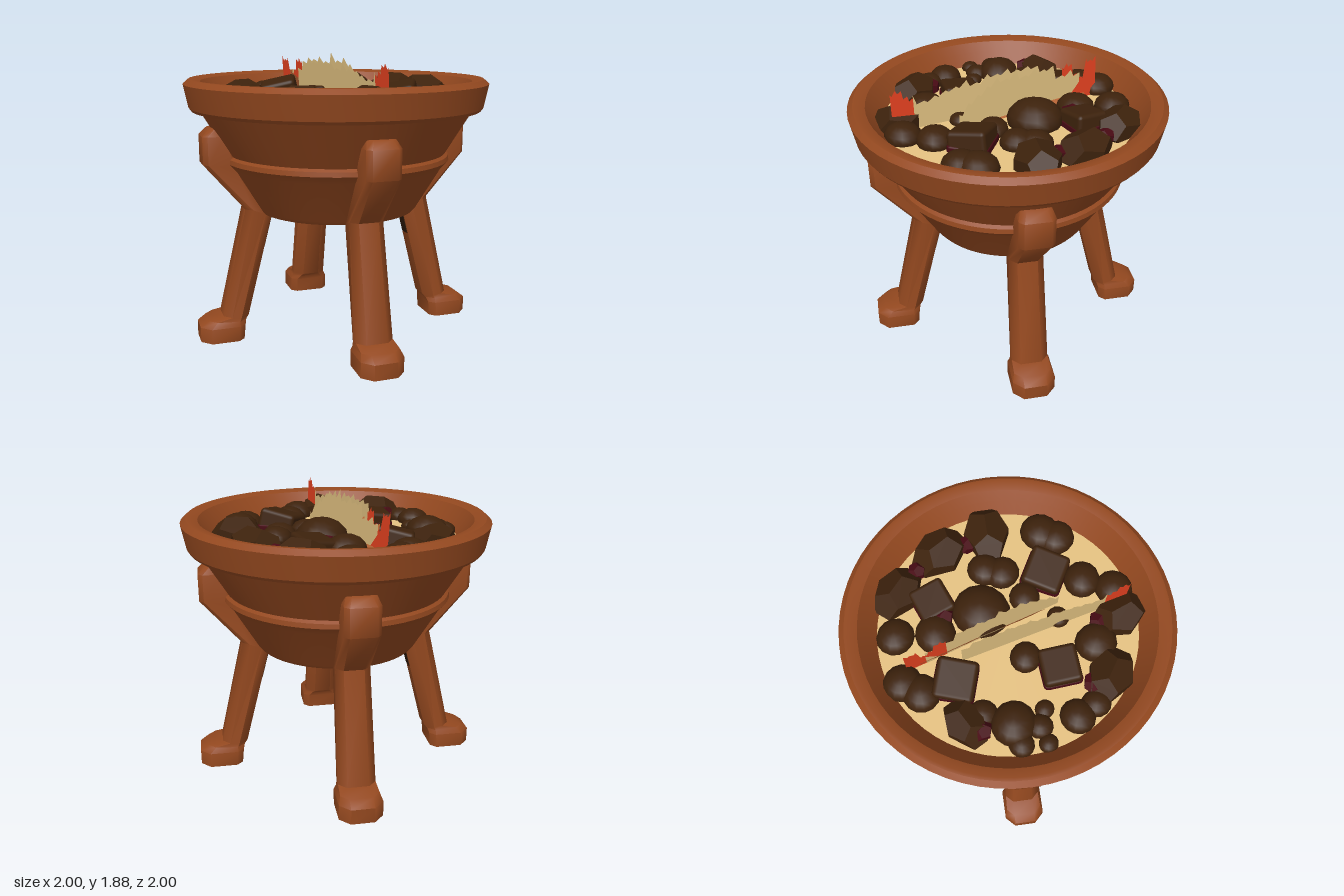
import * as THREE from 'three';
import { toCreasedNormals } from 'three/addons/utils/BufferGeometryUtils.js';
import { RoundedBoxGeometry } from 'three/addons/geometries/RoundedBoxGeometry.js';

const SAND_Y = 1.57;

function material(name, color, side = THREE.FrontSide) {
  const m = new THREE.MeshStandardMaterial({ color, side });
  m.name = name;
  return m;
}

// Leg cross-sections: inner radius, inner y, outer radius, outer y, half width, inner and outer chamfer
const LEG = [
  [0.68, 0, 0.965, 0, 0.14, 0.04, 0.065],
  [0.67, 0.1, 0.965, 0.1, 0.14, 0.04, 0.065],
  [0.66, 0.13, 0.91, 0.14, 0.125, 0.05, 0.05],
  [0.64, 0.15, 0.81, 0.16, 0.12, 0.06, 0.05],
  [0.46, 0.85, 0.645, 0.88, 0.11, 0.06, 0.045],
  [0.68, 1.17, 0.91, 1.19, 0.11, 0.03, 0.03],
  [0.75, 1.37, 0.91, 1.37, 0.11, 0.03, 0.03],
  [0.78, 1.42, 0.86, 1.42, 0.09, 0.03, 0.03],
];

function legGeometry() {
  const pos = [], index = [], n = 8, last = (LEG.length - 1) * n;
  for (const [ri, yi, ro, yo, w, ci, co] of LEG) {
    pos.push(-w + ci, yi, ri, -w, yi, ri + ci, -w, yo, ro - co, -w + co, yo, ro);
    pos.push(w - co, yo, ro, w, yo, ro - co, w, yi, ri + ci, w - ci, yi, ri);
  }
  for (let s = 0; s < last; s += n) {
    for (let i = 0; i < n; i++) {
      const a = s + i, b = s + (i + 1) % n;
      index.push(a, b, b + n, a, b + n, a + n);
    }
  }
  for (let i = 1; i < n - 1; i++) {
    index.push(0, i + 1, i, last, last + i, last + i + 1);
  }
  const g = new THREE.BufferGeometry();
  g.setAttribute('position', new THREE.Float32BufferAttribute(pos, 3));
  g.setIndex(index);
  return toCreasedNormals(g, 0.8);
}

// Upright sheet with a ragged top edge; heights run evenly from start to end
function flameGeometry(length, heights) {
  const shape = new THREE.Shape();
  const steps = heights.length - 1;
  shape.moveTo(0, 0);
  heights.forEach((h, i) => {
    const x = length * i / steps;
    shape.lineTo(x, h);
    if (i < steps) shape.lineTo(x + length * 0.7 / steps, Math.min(h, heights[i + 1]) - 0.015);
  });
  shape.lineTo(length, 0);
  return new THREE.ShapeGeometry(shape);
}

// Coals as x, z, radius
const ROUND_COALS = [
  [-0.46, -0.5, 0.12], [-0.3, -0.32, 0.13], [-0.02, -0.19, 0.18], [-0.66, -0.28, 0.12],
  [-0.64, -0.15, 0.12], [0.22, -0.35, 0.11], [0.27, -0.25, 0.11], [0.22, -0.04, 0.1],
  [0.64, -0.23, 0.13], [0.67, -0.13, 0.12], [0.53, 0.17, 0.12], [0.6, 0.36, 0.12],
  [0.24, 0.48, 0.13], [-0.09, 0.2, 0.1], [0.24, 0.2, 0.07], [-0.52, 0.21, 0.09],
  [-0.46, 0.39, 0.14], [-0.2, 0.66, 0.11], [-0.07, 0.7, 0.09], [-0.43, 0.62, 0.06],
  [-0.53, 0.5, 0.08], [-0.38, 0.52, 0.08], [-0.28, 0.48, 0.06],
];
// Rough coals and blocks add a turn
const ROUGH_COALS = [
  [-0.23, -0.67, 0.18, 0.1], [0.14, -0.64, 0.19, -0.2], [0.42, -0.49, 0.19, 0.8],
  [-0.63, 0.17, 0.16, 1.3], [0.47, 0.49, 0.18, -0.4], [0.12, 0.67, 0.18, 0.2],
];
const BLOCK_COALS = [
  [-0.15, -0.46, 0.125, -0.4], [-0.46, -0.04, 0.14, 0.5],
  [0.43, -0.04, 0.14, 0.3], [-0.02, 0.4, 0.13, -0.7],
];
const EMBERS = [
  [-0.05, -0.67, 0.06], [-0.19, -0.35, 0.07], [0.28, -0.54, 0.06],
  [-0.61, 0.27, 0.07], [0.36, 0.42, 0.07], [0.02, 0.62, 0.07],
];

export function createModel() {
  const clay = material('terracotta', 0x93481f);
  const sootMat = material('soot', 0x2e1a0a);
  const sandMat = material('sand', 0xe8c483);
  const coalMat = material('charcoal', 0x3d220c);
  const emberMat = material('dark ember', 0x480a14);
  const pale = material('pale flame', 0xdcbd7e, THREE.DoubleSide);
  const red = material('red flame', 0xe0401f, THREE.DoubleSide);
  const orange = material('orange flame', 0xc06a38, THREE.DoubleSide);

  const model = new THREE.Group();
  model.name = 'brazier';
  const add = (name, geometry, mat, parent = model) => {
    const mesh = new THREE.Mesh(geometry, mat);
    mesh.name = name;
    parent.add(mesh);
    return mesh;
  };

  // Bowl with belt and heavy rim, outside and inside in one profile
  const profile = [
    [0, 0.845], [0.53, 0.845], [0.55, 0.87], [0.71, 1.14], [0.755, 1.19], [0.75, 1.22],
    [0.73, 1.235], [0.9, 1.515], [0.955, 1.52], [0.97, 1.54], [1, 1.69], [0.965, 1.72],
    [0.945, 1.722], [0.89, 1.705], [0.85, 1.65], [0.78, 1.55],
  ].map(([r, y]) => new THREE.Vector2(r, y));
  add('bowl', toCreasedNormals(new THREE.LatheGeometry(profile, 64), 0.4), clay);

  const sand = add('sandBed', new THREE.CircleGeometry(0.8, 48), sandMat);
  sand.rotation.x = -Math.PI / 2;
  sand.position.y = SAND_Y;

  // Four diagonal legs with a soot mark high on the inside
  const leg = legGeometry();
  const mark = new THREE.BoxGeometry(0.085, 0.22, 0.006);
  for (let i = 0; i < 4; i++) {
    const group = new THREE.Group();
    group.name = 'legGroup';
    group.rotation.y = Math.PI / 4 + i * Math.PI / 2;
    model.add(group);
    add('leg', leg, clay, group);
    const soot = add('sootMark', mark, sootMat, group);
    soot.position.set(0, 0.72, 0.492);
    soot.rotation.x = -Math.atan2(0.18, 0.7);
  }

  // Charcoal
  const coals = new THREE.Group();
  coals.name = 'coals';
  model.add(coals);
  const ball = new THREE.SphereGeometry(1, 14, 8);
  const lump = new THREE.DodecahedronGeometry(1);
  const block = new RoundedBoxGeometry(1.75, 1.3, 1.75, 2, 0.2);
  ROUND_COALS.forEach(([x, z, r], i) => {
    const m = add('roundCoal', ball, coalMat, coals);
    m.position.set(x, SAND_Y + 0.15 * r, z);
    m.scale.set(r, r * 0.7, r * 0.95);
    m.rotation.y = i;
  });
  ROUGH_COALS.forEach(([x, z, r, turn]) => {
    const m = add('roughCoal', lump, coalMat, coals);
    m.position.set(x, SAND_Y + 0.1 * r, z);
    m.scale.set(r * 1.05, r * 0.75, r * 0.8);
    m.rotation.y = turn;
  });
  BLOCK_COALS.forEach(([x, z, r, turn]) => {
    const m = add('blockCoal', block, coalMat, coals);
    m.position.set(x, SAND_Y + 0.2 * r, z);
    m.scale.setScalar(r);
    m.rotation.set(0.15, turn, 0.15);
    const e = add('emberBase', block, emberMat, coals);
    e.position.set(x, SAND_Y, z);
    e.scale.set(r * 1.05, r * 0.5, r * 1.05);
    e.rotation.y = turn;
  });
  EMBERS.forEach(([x, z, r]) => {
    const m = add('ember', lump, emberMat, coals);
    m.position.set(x, SAND_Y + 0.04, z);
    m.scale.set(r, r * 0.8, r);
  });

  // Ragged flame sheets with red ends
  const flames = new THREE.Group();
  flames.name = 'flames';
  model.add(flames);
  const flame = (name, mat, [x0, z0], [x1, z1], heights, lean = 0) => {
    const m = add(name, flameGeometry(Math.hypot(x1 - x0, z1 - z0), heights), mat, flames);
    m.position.set(x0, SAND_Y, z0);
    m.rotation.set(lean, -Math.atan2(z1 - z0, x1 - x0), 0, 'YXZ');
  };
  flame('frontFlame', pale, [-0.33, -0.09], [0.46, 0.38],
    [0.2, 0.25, 0.26, 0.25, 0.27, 0.25, 0.26, 0.22, 0.25, 0.22, 0.21, 0.19, 0.17, 0.22], 0.05);
  flame('backFlame', pale, [-0.47, -0.25], [0.32, 0.14],
    [0.18, 0.21, 0.19, 0.27, 0.26, 0.28, 0.25, 0.31, 0.26, 0.28, 0.24, 0.2, 0.16, 0.1], 0.05);
  flame('innerFlame', orange, [-0.5, -0.28], [-0.16, -0.11],
    [0.12, 0.18, 0.15, 0.19, 0.16], 0.4);
  flame('innerFlame', pale, [-0.16, -0.11], [-0.03, -0.04], [0.17, 0.2, 0.18], 0.4);
  flame('innerFlame', orange, [-0.03, -0.04], [0.22, 0.09], [0.16, 0.19, 0.17, 0.1], 0.4);
  flame('frontRedTip', red, [0.46, 0.38], [0.58, 0.455], [0.2, 0.22, 0.26, 0.27, 0.25], 0.05);
  flame('backRedTip', red, [-0.58, -0.31], [-0.35, -0.19],
    [0.27, 0.25, 0.26, 0.15, 0.18, 0.25, 0.26, 0.24], 0.07);

  return model;
}
